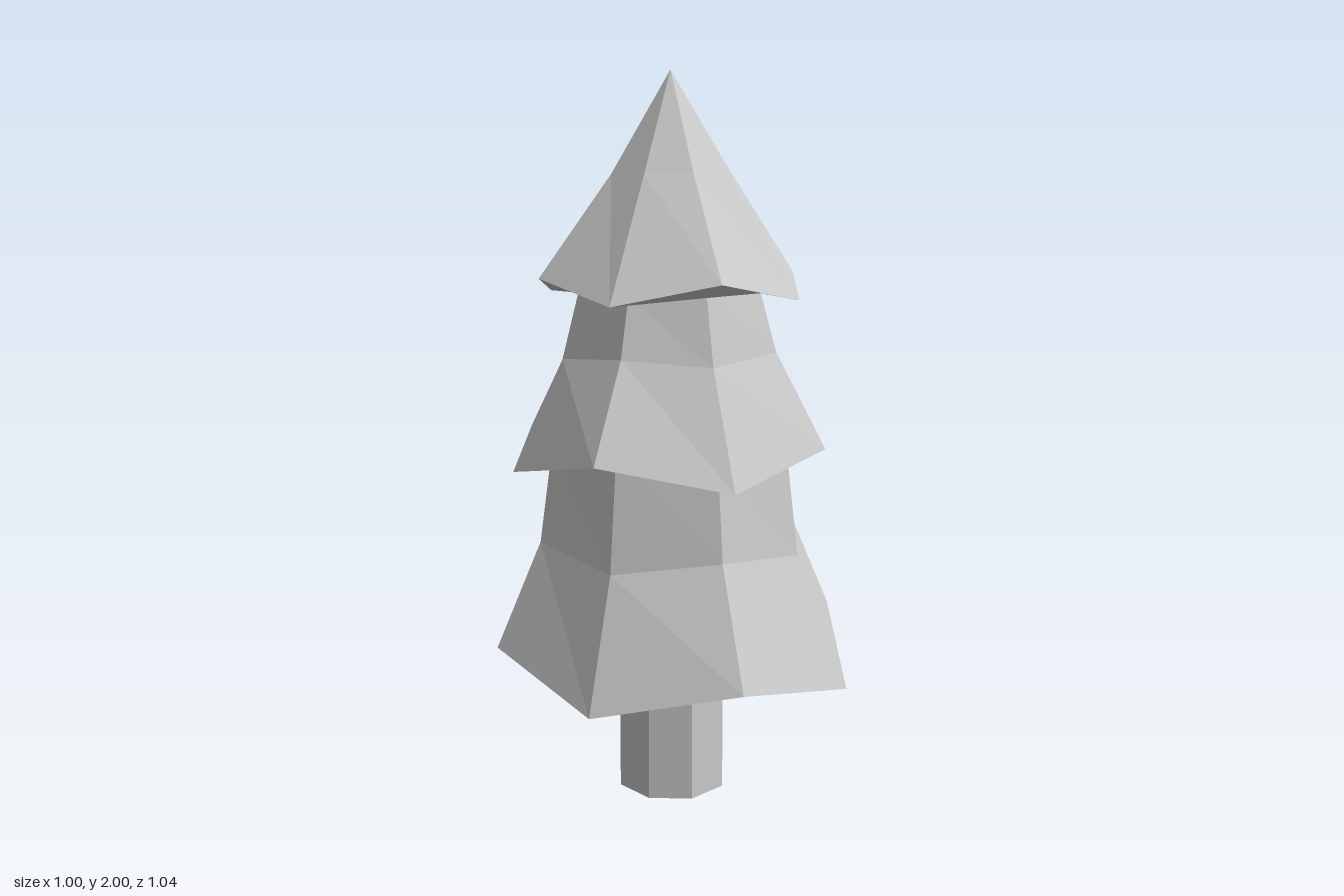
import * as THREE from 'three';

const SIDES = 8;
const material = new THREE.MeshStandardMaterial({
  color: 0xcccccc, flatShading: true, side: THREE.DoubleSide,
});

// A number repeats round the ring; a pair alternates; eight values are used as given.
const pick = (v, k) => (Array.isArray(v) ? v[k % v.length] : v);

// Skin eight-sided rings, listed from bottom to top. Each ring is [radius, height].
function loft(name, rings) {
  const positions = [];
  const index = [];
  for (const [r, y] of rings) {
    for (let k = 0; k < SIDES; k++) {
      const a = (k / SIDES) * Math.PI * 2;
      positions.push(Math.cos(a) * pick(r, k), pick(y, k), Math.sin(a) * pick(r, k));
    }
  }
  for (let i = 0; i < rings.length - 1; i++) {
    for (let k = 0; k < SIDES; k++) {
      const n = (k + 1) % SIDES;
      const a = i * SIDES + k, b = i * SIDES + n;
      const c = b + SIDES, d = a + SIDES;
      index.push(a, d, c);
      if (rings[i][0] !== 0) index.push(a, c, b);
    }
  }
  const indexed = new THREE.BufferGeometry();
  indexed.setAttribute('position', new THREE.Float32BufferAttribute(positions, 3));
  indexed.setIndex(index);
  const geometry = indexed.toNonIndexed();
  geometry.computeVertexNormals();
  const mesh = new THREE.Mesh(geometry, material);
  mesh.name = name;
  return mesh;
}

export function createModel() {
  const tree = new THREE.Group();
  tree.name = 'pineTree';

  // Trunk, open at the bottom
  const trunk = loft('trunk', [[0.158, 0], [0.158, 0.455]]);
  trunk.position.x = 0.005;
  tree.add(trunk);

  // Lower branches: underside, jagged rim, flared skirt, neck
  tree.add(loft('lowerBranches', [
    [0.158, 0.455],
    [[0.5, 0.525, 0.52, 0.505, 0.505, 0.52, 0.52, 0.525],
      [0.475, 0.355, 0.44, 0.37, 0.46, 0.355, 0.44, 0.355]],
    [0.378, [0.747, 0.715]],
    [0.34, 1.015],
  ]));

  // Middle branches, rim dipping on the axes
  tree.add(loft('middleBranches', [
    [0.34, 1.015],
    [[0.457, 0.45, 0.455, 0.465, 0.45, 0.44, 0.44, 0.447], [0.947, 1.015]],
    [0.308, [1.245, 1.265]],
    [0.262, 1.42],
  ]));

  // Top branches, closing to the tip
  tree.add(loft('topBranches', [
    [0.262, 1.42],
    [[0.368, 0.37, 0.362, 0.37, 0.37, 0.37, 0.375, 0.378], [1.46, 1.405]],
    [[0.178, 0.165, 0.168, 0.165, 0.167, 0.17, 0.183, 0.172], 1.73],
    [0, 2],
  ]));

  return tree;
}
